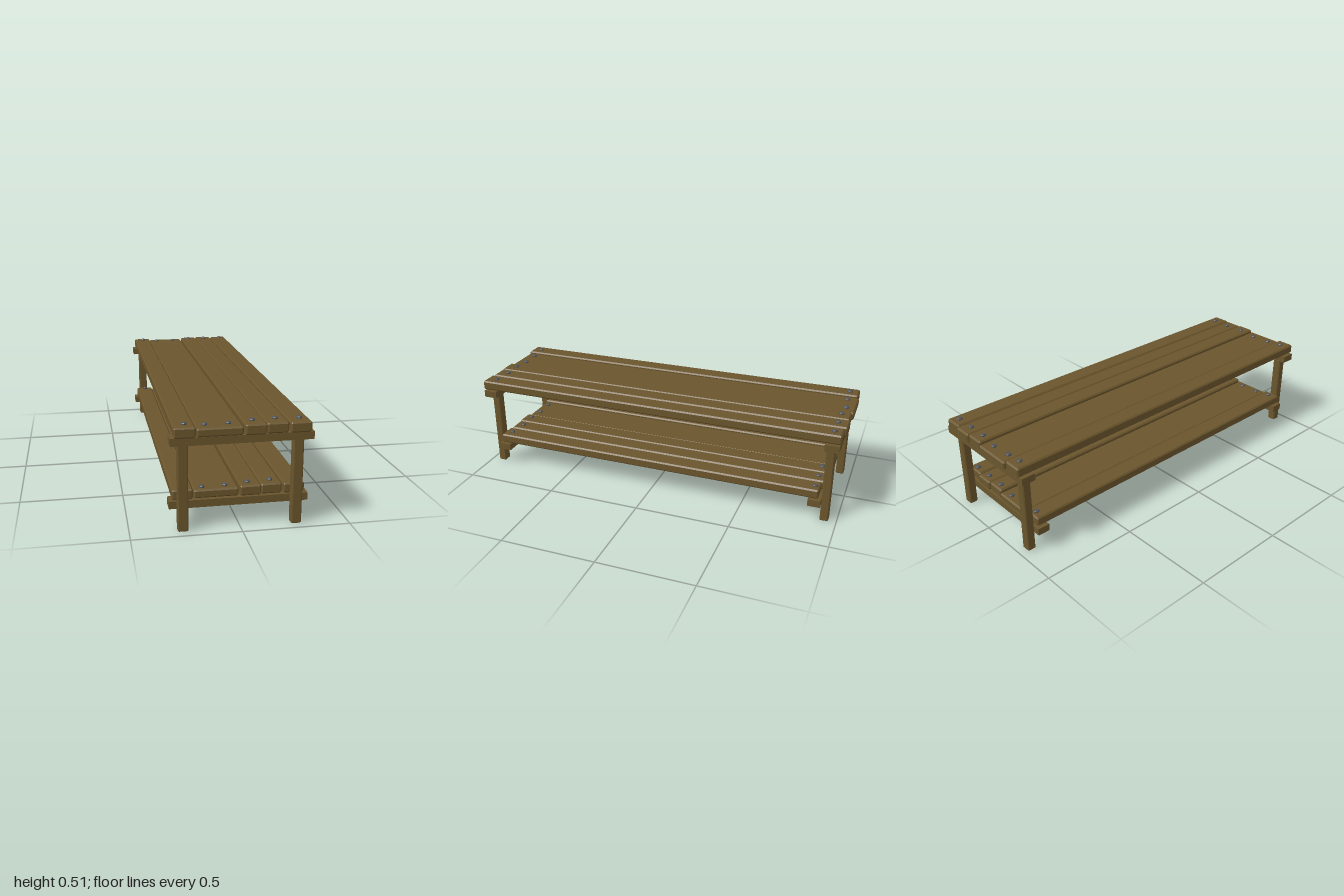
import * as THREE from 'three';
import { ConvexGeometry } from 'three/addons/geometries/ConvexGeometry.js';

const wood = new THREE.MeshStandardMaterial({ color: 0x6a552c, flatShading: true });
const metal = new THREE.MeshStandardMaterial({ color: 0x50545a, flatShading: true });

// Box between two corners with every edge chamfered by c
function chamferBox(w, h, d, c) {
  const points = [];
  for (const sx of [-1, 1]) for (const sy of [-1, 1]) for (const sz of [-1, 1]) {
    const [x, y, z] = [w / 2, h / 2, d / 2];
    points.push(
      new THREE.Vector3(sx * x, sy * (y - c), sz * (z - c)),
      new THREE.Vector3(sx * (x - c), sy * y, sz * (z - c)),
      new THREE.Vector3(sx * (x - c), sy * (y - c), sz * z));
  }
  return new ConvexGeometry(points);
}

function block(name, [x0, x1], [y0, y1], [z0, z1], c = 0) {
  const size = [x1 - x0, y1 - y0, z1 - z0];
  const geometry = c ? chamferBox(...size, c) : new THREE.BoxGeometry(...size);
  const mesh = new THREE.Mesh(geometry, wood);
  mesh.position.set((x0 + x1) / 2, (y0 + y1) / 2, (z0 + z1) / 2);
  mesh.name = name;
  return mesh;
}

// Plank layout: x range, thickness, back and front ends, bolts as [x, back z, front z]
const planks = [
  { x: [-0.305, -0.209], t: 0.049, z: [-0.992, 0.996], bolts: [[-0.255, -0.944, 0.942]] },
  { x: [-0.205, 0.001], t: 0.04, z: [-1, 0.99], bolts: [[-0.165, -0.944, 0.938], [-0.058, -0.953, 0.934]] },
  { x: [0.007, 0.104], t: 0.049, z: [-0.992, 0.996], bolts: [[0.047, -0.944, 0.934]] },
  { x: [0.105, 0.202], t: 0.049, z: [-0.998, 0.99], bolts: [[0.153, -0.944, 0.926]] },
  { x: [0.208, 0.305], t: 0.049, z: [-0.987, 0.996], bolts: [[0.26, -0.944, 0.934]] },
];

// Bolt head with a chamfered rim
const boltGeometry = new THREE.LatheGeometry([
  new THREE.Vector2(0.0135, -0.004),
  new THREE.Vector2(0.0135, 0.005),
  new THREE.Vector2(0.0105, 0.009),
  new THREE.Vector2(0, 0.009),
], 8);

// One layer of planks; inset pulls the ends and bolts towards the middle
function deck(name, y, inset, boltInset) {
  const group = new THREE.Group();
  group.name = name;
  for (const p of planks) {
    const ends = [p.z[0] + inset, p.z[1] - inset];
    group.add(block('plank', p.x, [y, y + p.t], ends, 0.007));
    for (const [x, back, front] of p.bolts) {
      for (const z of [back + boltInset, front - boltInset]) {
        const bolt = new THREE.Mesh(boltGeometry, metal);
        bolt.name = 'bolt';
        bolt.position.set(x, y + p.t, z);
        group.add(bolt);
      }
    }
  }
  return group;
}

export function createModel() {
  const model = new THREE.Group();
  model.name = 'slattedBench';
  model.add(deck('seat', 0.448, 0, 0), deck('lowerShelf', 0.132, 0.085, 0.068));

  for (const s of [-1, 1]) {
    const end = s > 0 ? 'front' : 'back';
    const span = (a, b) => (s > 0 ? [a, b] : [-b, -a]);
    // Cross beams under each deck
    model.add(block(end + 'UpperBeam', [-0.32, 0.32], [0.411, 0.447], span(0.91, 0.982)));
    model.add(block(end + 'LowerBeam', [-0.32, 0.32], [0.095, 0.131], span(0.853, 0.917)));
    // Legs
    model.add(block(end + 'RightLeg', [-0.286, -0.238], [0, 0.411], span(0.916, 0.959), 0.005));
    model.add(block(end + 'LeftLeg', [0.234, 0.282], [0, 0.411], span(0.916, 0.959), 0.005));
  }
  return model;
}
